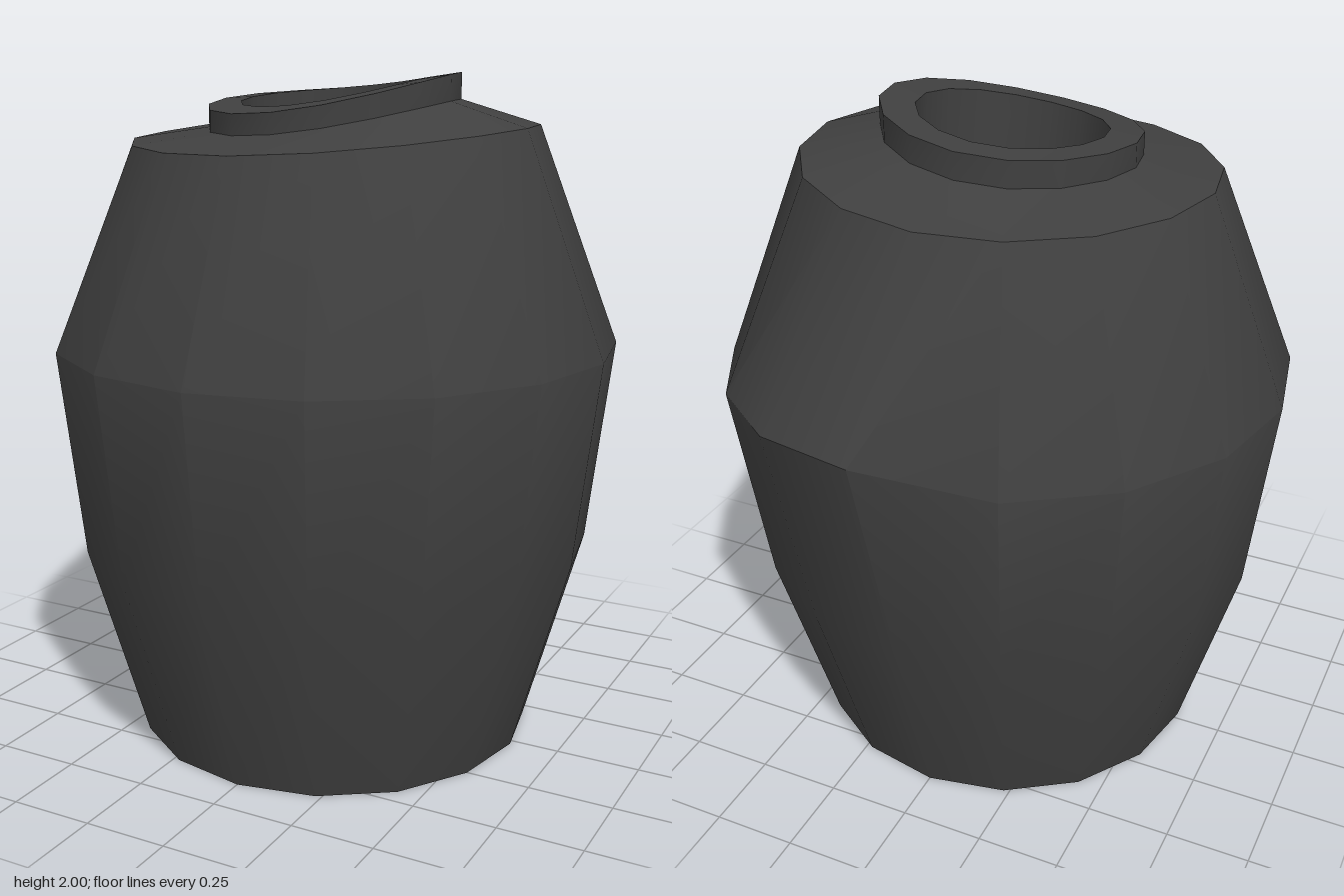
import * as THREE from 'three';
import { toCreasedNormals } from 'three/addons/utils/BufferGeometryUtils.js';

const SIDES = 16;
const clay = new THREE.MeshStandardMaterial({ color: 0x404040 });

// One ring of the pot: radius, height, centre, tilt along x and z, and sag at front and back
function ring(r, y, { cx = 0, cz = 0.02, tx = 0, tz = 0, sag = 0 } = {}) {
  return Array.from({ length: SIDES }, (_, i) => {
    const a = (i / SIDES) * Math.PI * 2;
    const x = r * Math.sin(a), z = r * Math.cos(a);
    return new THREE.Vector3(cx + x, y + tx * x + tz * z - sag * Math.cos(a) ** 2, cz + z);
  });
}

// Skin between successive rings; a ring of radius 0 closes the end
function loft(name, rings) {
  const pos = [];
  const tri = (a, b, c) => {
    if (a.distanceTo(b) < 1e-6 || b.distanceTo(c) < 1e-6 || c.distanceTo(a) < 1e-6) return;
    for (const p of [a, b, c]) pos.push(p.x, p.y, p.z);
  };
  for (let k = 0; k < rings.length - 1; k++) {
    const lo = rings[k], hi = rings[k + 1];
    for (let i = 0; i < SIDES; i++) {
      const j = (i + 1) % SIDES;
      tri(lo[i], lo[j], hi[j]);
      tri(lo[i], hi[j], hi[i]);
    }
  }
  const geo = new THREE.BufferGeometry();
  geo.setAttribute('position', new THREE.Float32BufferAttribute(pos, 3));
  const mesh = new THREE.Mesh(toCreasedNormals(geo, THREE.MathUtils.degToRad(33)), clay);
  mesh.name = name;
  return mesh;
}

export function createModel() {
  const group = new THREE.Group();
  group.name = 'pot';

  // Belly ring, pulled out and up into a soft bulge at the back
  const belly = ring(0.845, 1.21, { cz: 0.015 });
  const bulge = new THREE.Vector3(0.055, 0.06, -0.04);
  [[8, 1], [7, 0.75], [6, 0.3]].forEach(([i, w]) => belly[i].addScaledVector(bulge, w));

  // Uneven, hand-formed upper rings
  const shoulder = ring(0.602, 1.832, { tx: 0.03, tz: -0.025, sag: 0.025 });
  const neckFoot = ring(0.372, 1.885, { cz: 0.025, tx: 0.095, tz: -0.06, sag: 0.027 });
  const lip = ring(0.372, 1.957, { cz: 0.025, tx: 0.1, tz: -0.085, sag: 0.03 });
  const mouth = ring(0.273, 1.952, { cx: -0.005, tx: 0.1, tz: -0.085, sag: 0.018 });

  group.add(
    // Base and walls
    loft('body', [ring(0, 0), ring(0.605, 0), ring(0.775, 0.6), belly, shoulder]),
    loft('shoulder', [shoulder, neckFoot]),
    // Raised collar with its flat lip
    loft('neck', [neckFoot, lip, mouth]),
    // Inner well with a closed floor
    loft('hollow', [
      mouth,
      ring(0.27, 1.5, { cx: 0.003, cz: 0.01, tx: 0.08, tz: -0.06 }),
      ring(0, 1.5, { cx: 0.003, cz: 0.01 }),
    ]),
  );
  return group;
}
